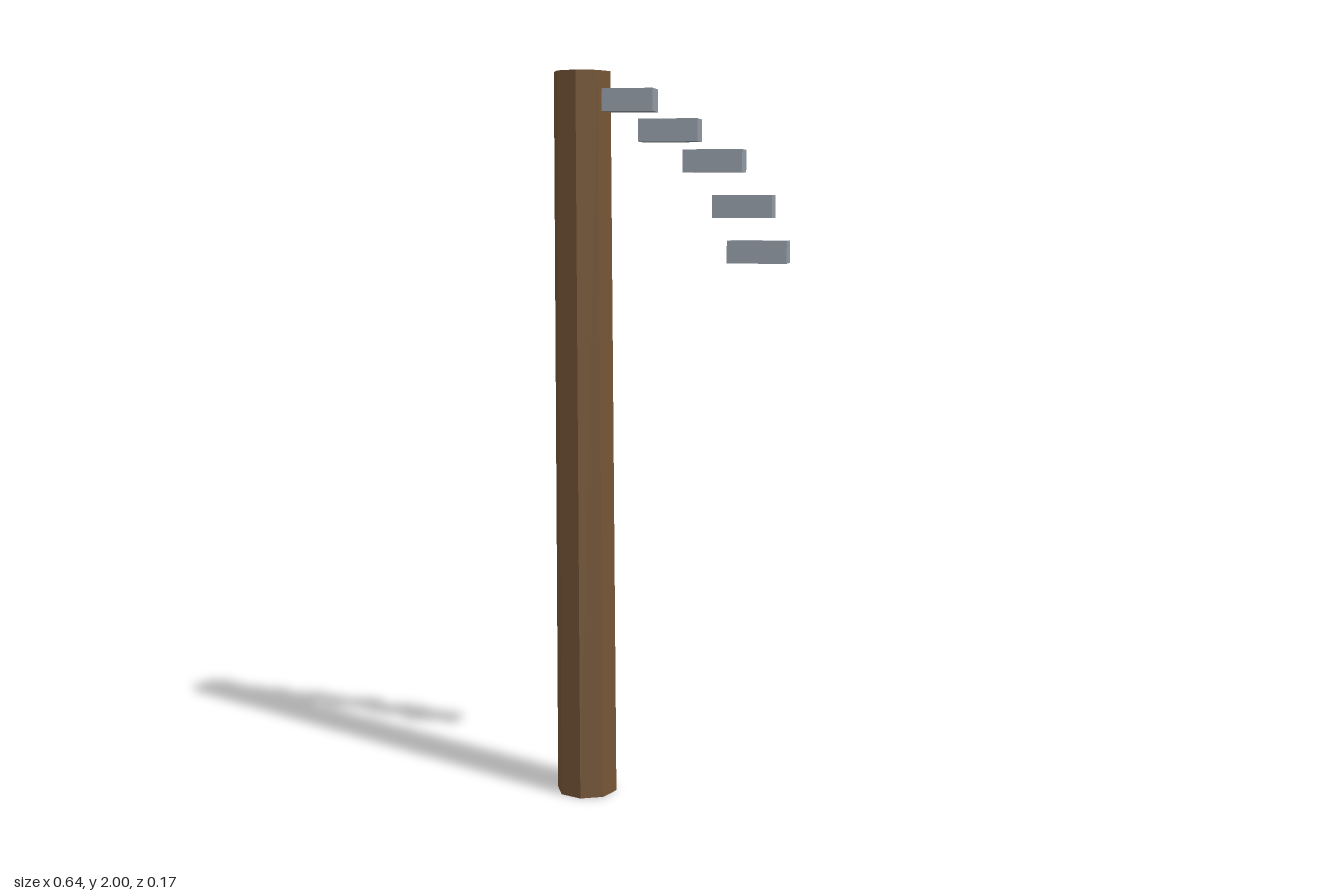
import * as THREE from 'three';

export function createModel() {
  const model = new THREE.Group();
  const wood = new THREE.MeshStandardMaterial({ color: 0x765637, flatShading: true, side: THREE.DoubleSide });
  wood.name = 'brown wood';
  const stone = new THREE.MeshStandardMaterial({ color: 0x949ca5, flatShading: true });
  stone.name = 'blue grey';

  // Open, slightly tapered eight-sided post
  const postX = -0.238;
  const post = new THREE.Mesh(new THREE.CylinderGeometry(0.078, 0.085, 2, 8, 1, true), wood);
  post.name = 'post';
  post.position.set(postX, 1, 0);
  model.add(post);

  // Curved arm of separate blocks: [distance from post axis, height]
  const arm = new THREE.Group();
  arm.name = 'arm';
  const blockGeometry = new THREE.BoxGeometry(0.16, 0.06, 0.08);
  const steps = [[0.12, 1.923], [0.24, 1.843], [0.36, 1.762], [0.44, 1.642], [0.48, 1.522]];
  steps.forEach(([dx, y], i) => {
    const block = new THREE.Mesh(blockGeometry, stone);
    block.name = `armBlock${i + 1}`;
    block.position.set(postX + dx, y, 0);
    arm.add(block);
  });
  model.add(arm);

  return model;
}
